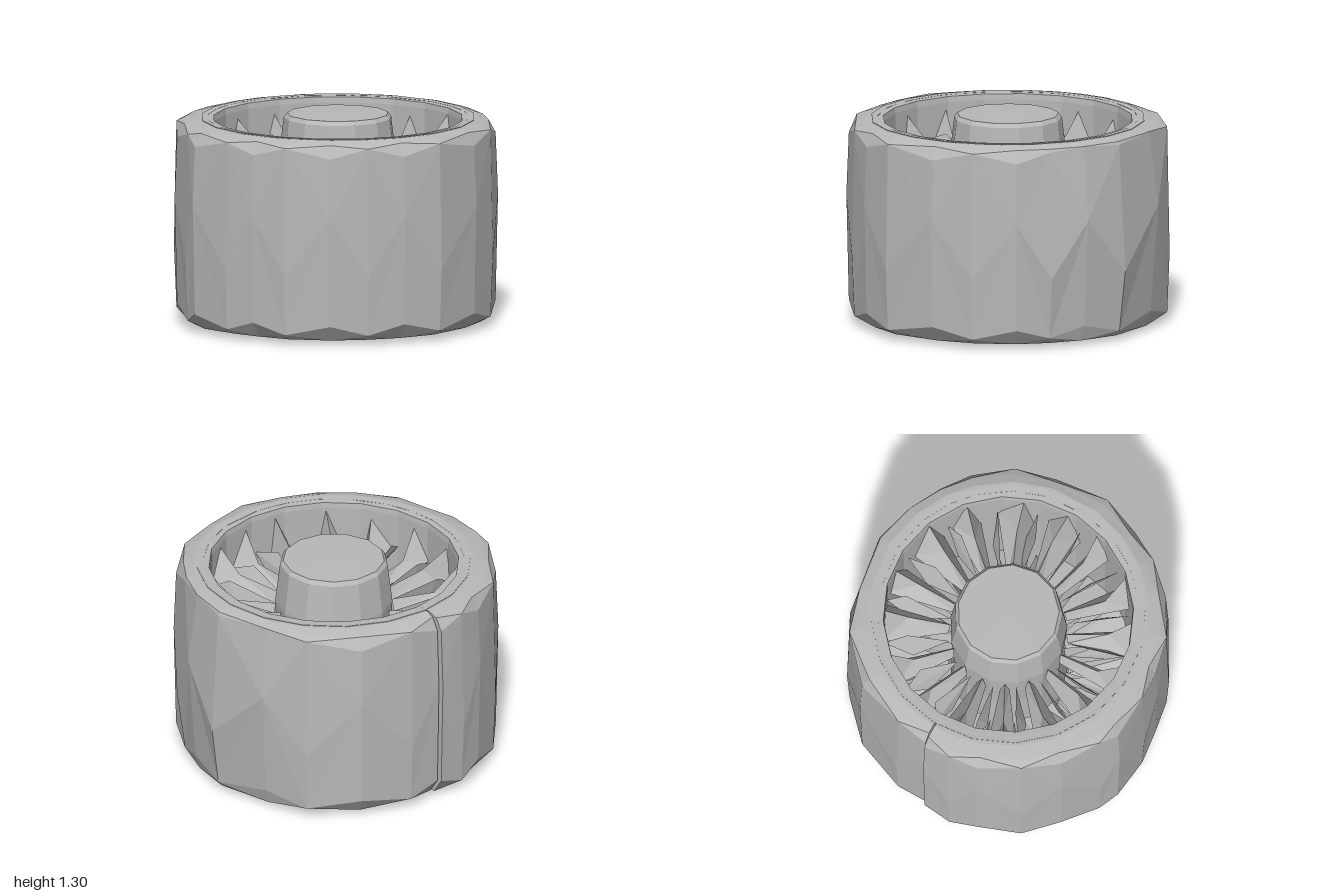
import * as THREE from 'three';

const grey = new THREE.MeshStandardMaterial({ color: 0xb8b8b8, flatShading: true, side: THREE.DoubleSide });
grey.name = 'grey';

let seed = 7;
const rand = () => (seed = (seed * 16807) % 2147483647) / 2147483647;
const jitter = (a) => (rand() - 0.5) * 2 * a;

// Flat-faced geometry from a list of triangles
function fromTriangles(tris) {
  const g = new THREE.BufferGeometry();
  g.setAttribute('position', new THREE.Float32BufferAttribute(tris.flat(2), 3));
  g.computeVertexNormals();
  return g;
}

function add(parent, name, geometry) {
  const m = new THREE.Mesh(geometry, grey);
  m.name = name;
  parent.add(m);
  return m;
}

// Uneven outline of the tread seen from above, starting and ending at the rear seam
const outline = [
  [-0.02, -1], [-0.2, -0.99], [-0.38, -0.94], [-0.62, -0.81], [-0.8, -0.63], [-0.94, -0.4],
  [-1, -0.28], [-1, 0], [-0.97, 0.2], [-0.91, 0.42], [-0.75, 0.66], [-0.56, 0.81],
  [-0.35, 0.92], [-0.1, 0.99], [0.25, 0.95], [0.5, 0.85], [0.72, 0.68], [0.85, 0.5],
  [0.95, 0.28], [1, 0], [0.92, -0.38], [0.78, -0.63], [0.53, -0.87], [0.2, -0.965], [-0.01, -0.975],
];

function tyreGeometry() {
  const columns = outline.map(([x, z], i) => {
    const r = Math.hypot(x, z), ux = x / r, uz = z / r;
    const odd = i % 2;
    const shoulder = x > 0.8 ? 0.95 : 0.985;
    const section = [
      [0.81, 0.04], [r * 0.92, 0.035], [r * shoulder, odd ? 0.07 : 0.13],
      [r, odd ? 0.45 : 0.8], [r * shoulder, odd ? 1.24 : 1.18],
      [r * 0.94, 1.26], [0.87, 1.28], [0.81, 1.28],
    ];
    return section.map(([s, y]) => [ux * s, y, uz * s]);
  });
  const tris = [];
  for (let i = 0; i < columns.length - 1; i++) {
    const a = columns[i], b = columns[i + 1];
    for (let j = 0; j < a.length; j++) {
      const k = (j + 1) % a.length;
      // Alternate the diagonals to give the triangular facets
      if ((i + j) % 2) tris.push([a[j], b[j], b[k]], [a[j], b[k], a[k]]);
      else tris.push([a[j], b[j], a[k]], [b[j], b[k], a[k]]);
    }
  }
  // Close the two ends at the seam
  for (const c of [columns[0], columns[columns.length - 1]])
    for (let j = 1; j < c.length - 1; j++) tris.push([c[0], c[j], c[j + 1]]);
  return fromTriangles(tris);
}

function lathe(profile, sides) {
  return new THREE.LatheGeometry(profile.map(([r, y]) => new THREE.Vector2(r, y)), sides);
}

// Spoke running outwards along +x: narrow at the hub, flaring to a tall gable at the rim
function spokeGeometry() {
  const tilt = jitter(0.08), half = 0.1 + jitter(0.025);
  const hub = [[0.36, 1.0, 0], [0.37, 0.93, 0.03], [0.37, 0.93, -0.03]];
  const rim = [[0.775, 1.21 + jitter(0.03), jitter(0.05)], [0.775, 0.93 + tilt, half], [0.775, 0.93 - tilt, -half]];
  const ridge = [0.62, 1.04 + jitter(0.03), jitter(0.02)];
  const tris = [
    [hub[0], hub[1], ridge], [hub[0], ridge, hub[2]],
    [hub[1], rim[1], ridge], [hub[2], ridge, rim[2]],
    [ridge, rim[1], rim[0]], [ridge, rim[0], rim[2]],
    [hub[1], hub[2], rim[2]], [hub[1], rim[2], rim[1]],
  ];
  return fromTriangles(tris);
}

// Thin pointed blade between spokes
function bladeGeometry() {
  const w = 0.03 + jitter(0.015);
  const root = [0.37, 0.96, 0], tip = [0.63 + jitter(0.06), 1.08, w];
  const low = [0.6, 0.9, -w], end = [0.775, 1.02, jitter(0.04)];
  return fromTriangles([[root, tip, low], [tip, end, low], [root, low, end], [root, end, tip]]);
}

export function createModel() {
  const wheel = new THREE.Group();
  wheel.name = 'wheel';

  add(wheel, 'tyre', tyreGeometry());

  // Rim band: open tube with flat lips flush with the tyre walls
  add(wheel, 'rim', lathe([
    [0.77, 0.08], [0.775, 0.04], [0.85, 0.035], [0.85, 1.283],
    [0.775, 1.275], [0.77, 1.24], [0.77, 0.08],
  ], 20));

  // Hub: tapers towards the flat cap at each end
  add(wheel, 'hub', lathe([
    [0, 0.005], [0.315, 0.005], [0.335, 0.03], [0.365, 0.28], [0.345, 0.65],
    [0.365, 1.03], [0.335, 1.28], [0.315, 1.305], [0, 1.31],
  ], 13));

  // Matching spoke sets near the two faces
  for (const side of ['upper', 'lower']) {
    const set = new THREE.Group();
    set.name = side + 'Spokes';
    const count = 16;
    for (let i = 0; i < count; i++) {
      const angle = (i / count) * Math.PI * 2 + 0.12;
      add(set, 'spoke', spokeGeometry()).rotation.y = angle + jitter(0.03);
      add(set, 'blade', bladeGeometry()).rotation.y = angle + Math.PI / count + jitter(0.05);
    }
    if (side === 'lower') {
      set.scale.y = -1;
      set.position.y = 1.31;
    }
    wheel.add(set);
  }
  return wheel;
}
